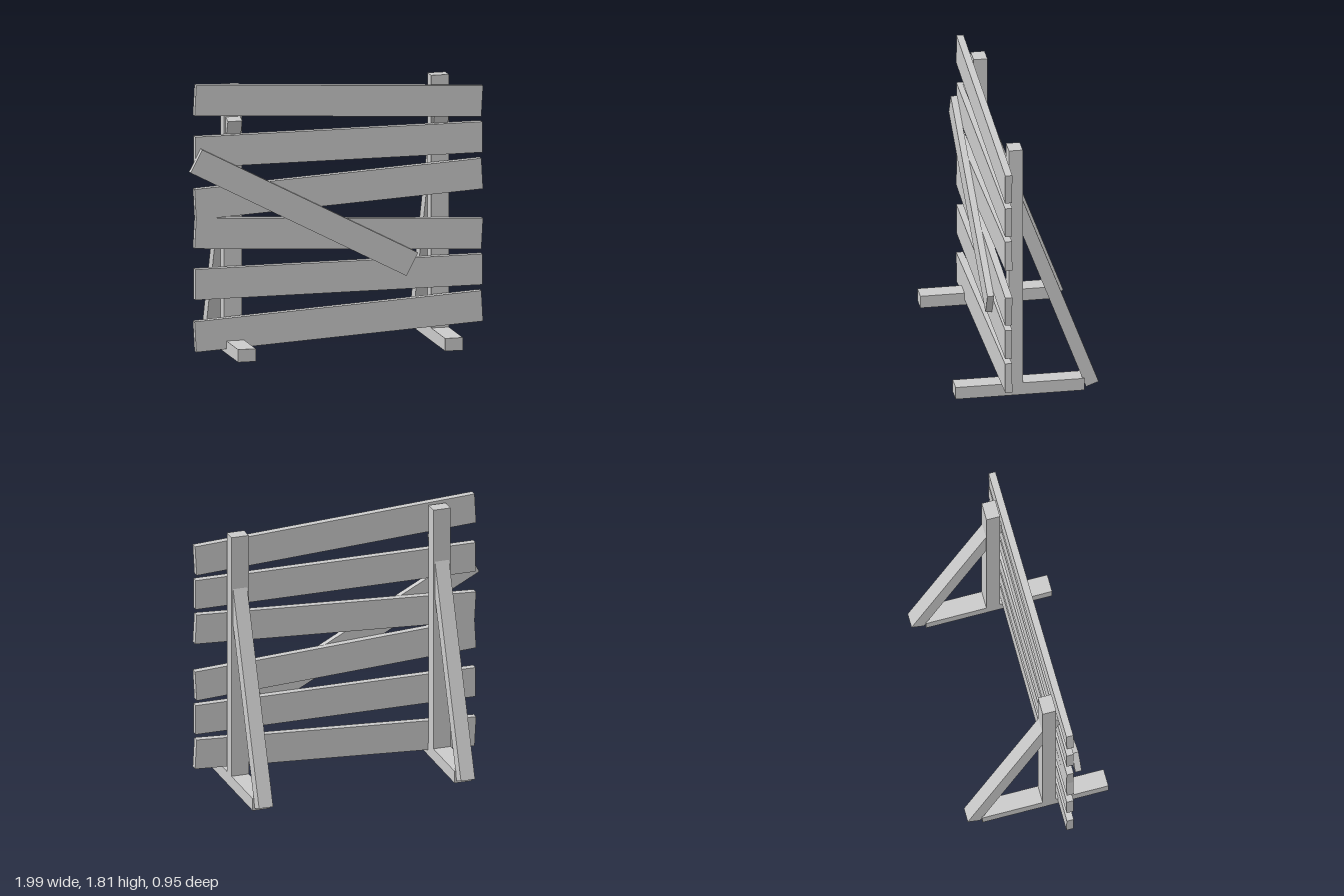
import * as THREE from 'three';

export function createModel() {
  const group = new THREE.Group();
  group.name = 'plankBarricade';
  const wood = new THREE.MeshStandardMaterial({ color: 0xcccccc });
  wood.name = 'plain grey';

  function addBeam(parent, name, size, position, tiltX = 0, tiltZ = 0) {
    const mesh = new THREE.Mesh(new THREE.BoxGeometry(...size), wood);
    mesh.name = name;
    mesh.position.set(...position);
    mesh.rotation.set(THREE.MathUtils.degToRad(tiltX), 0, THREE.MathUtils.degToRad(tiltZ));
    parent.add(mesh);
  }

  // Two supports, each with a foot, an upright post and a leaning brace
  for (const [name, x] of [['rightSupport', -0.685], ['leftSupport', 0.72]]) {
    const support = new THREE.Group();
    support.name = name;
    support.position.x = x;
    addBeam(support, 'foot', [0.12, 0.085, 0.855], [0, 0.0425, 0.0475]);
    addBeam(support, 'post', [0.12, 1.69, 0.092], [0, 0.93, 0.075]);
    addBeam(support, 'brace', [0.098, 1.634, 0.089], [0, 0.8, -0.15], 20.4);
    group.add(support);
  }

  // Six cross planks: centre height and tilt in degrees
  const planks = [[1.65, -3.1], [1.357, 0], [1.06, 3.1], [0.763, -3.1], [0.472, 0], [0.175, 3.1]];
  planks.forEach(([y, tilt], i) => {
    addBeam(group, `plank${i + 1}`, [1.948, 0.205, 0.047], [0.0175, y, 0.158], 0, tilt);
  });

  // Diagonal board nailed across the front
  addBeam(group, 'diagonalBoard', [1.653, 0.17, 0.043], [-0.2275, 0.9225, 0.203], 0, -27.6);

  return group;
}
